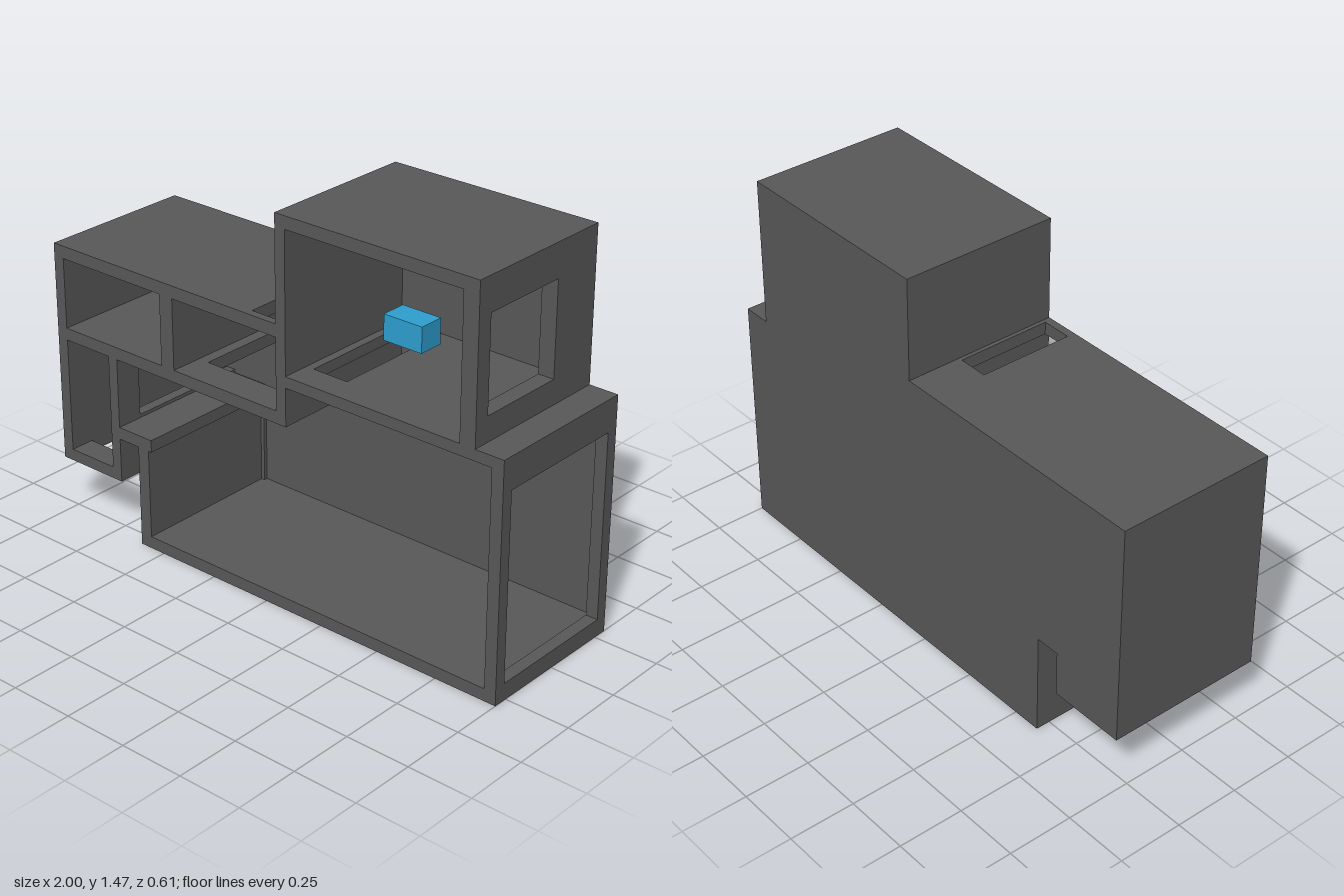
import * as THREE from 'three';

const HALF = 0.305; // half depth of the house
const BACK = 0.006; // thin back sheet

const rect = (Type, a0, a1, b0, b1) => {
  const s = new Type();
  s.moveTo(a0, b0).lineTo(a1, b0).lineTo(a1, b1).lineTo(a0, b1).closePath();
  return s;
};
const extrude = (shape, depth) => new THREE.ExtrudeGeometry(shape, { depth, bevelEnabled: false });

export function createModel() {
  const house = new THREE.Group();
  house.name = 'openFrontHouse';
  const darkGrey = new THREE.MeshStandardMaterial({ color: 0x595959 });
  const blue = new THREE.MeshStandardMaterial({ color: 0x2f9fd0 });
  const brown = new THREE.MeshStandardMaterial({ color: 0x906a3c });

  const add = (name, geometry, material = darkGrey) => {
    const mesh = new THREE.Mesh(geometry, material);
    mesh.name = name;
    house.add(mesh);
    return mesh;
  };

  // Horizontal slab; the optional hole is [x0, x1, z0, z1]
  const slab = (name, x0, x1, y0, y1, hole) => {
    const s = rect(THREE.Shape, x0, x1, -HALF, HALF - BACK);
    if (hole) s.holes.push(rect(THREE.Path, hole[0], hole[1], -hole[3], -hole[2]));
    add(name, extrude(s, y1 - y0).rotateX(-Math.PI / 2).translate(0, y0, 0));
  };

  // Upright wall across the depth; the optional opening is [z0, z1, y0, y1]
  const wall = (name, x0, x1, y0, y1, hole) => {
    const s = rect(THREE.Shape, -HALF, HALF - BACK, y0, y1);
    if (hole) s.holes.push(rect(THREE.Path, -hole[1], -hole[0], hole[2], hole[3]));
    add(name, extrude(s, x1 - x0).rotateY(Math.PI / 2).translate(x0, 0, 0));
  };

  const block = (name, x0, x1, y0, y1, z0, z1, material) =>
    add(name, new THREE.BoxGeometry(x1 - x0, y1 - y0, z1 - z0), material)
      .position.set((x0 + x1) / 2, (y0 + y1) / 2, (z0 + z1) / 2);

  // Floors and roofs
  slab('groundFloor', -0.61, 1, 0, 0.047);
  slab('entryFloor', -1, -0.703, 0.223, 0.268, [-0.955, -0.745, -0.255, 0.21]);
  slab('nookFloor', -0.703, -0.545, 0.395, 0.442);
  slab('middleFloor', -1, 0.055, 0.71, 0.757, [-0.376, 0.05, -0.26, 0.18]);
  slab('hallRoof', 0.055, 1, 0.855, 0.897, [0.13, 0.275, -0.2, 0.2]);
  slab('lowRoof', -1, 0.055, 1.027, 1.075, [-0.075, 0.04, -0.093, 0.275]);
  slab('towerRoof', 0.055, 0.887, 1.42, 1.467);

  // Walls
  wall('outerWall', -1, -0.955, 0.268, 0.71);
  wall('upperOuterWall', -1, -0.955, 0.757, 1.027);
  // The passage beside the entry runs up to the ceiling and back to the back wall
  wall('entryWall', -0.745, -0.703, 0.268, 0.455);
  block('entryPost', -0.745, -0.703, 0.455, 0.71, 0.2, HALF);
  wall('hallWall', -0.61, -0.56, 0.047, 0.395);
  block('hallCornerPost', -0.56, -0.545, 0.047, 0.395, -HALF + BACK, -0.285);
  wall('roomDivider', -0.48, -0.42, 0.757, 1.027);
  wall('stepWall', 0.055, 0.098, 0.71, 0.855);
  wall('towerWall', 0.055, 0.098, 0.897, 1.42);
  wall('hallWindowWall', 0.953, 1, 0.047, 0.855, [-0.26, 0.26, 0.065, 0.775]);
  wall('towerWindowWall', 0.825, 0.887, 0.897, 1.42, [-0.1, 0.245, 0.99, 1.34]);

  // Back sheet follows the stepped outline
  const outline = [
    [-1, 0.223], [-0.703, 0.223], [-0.703, 0.395], [-0.61, 0.395], [-0.61, 0], [1, 0],
    [1, 0.897], [0.887, 0.897], [0.887, 1.467], [0.055, 1.467], [0.055, 1.075], [-1, 1.075],
  ].map(([x, y]) => new THREE.Vector2(x, y));
  add('backWall', extrude(new THREE.Shape(outline), BACK).translate(0, 0, -HALF));

  // Fittings
  block('blueBox', 0.465, 0.62, 1.12, 1.212, 0.15, 0.245, blue);
  block('brownShelf', 0.385, 0.84, 0.775, 0.855, -HALF + BACK, -0.2, brown);
  block('smallBrownBox', 0.7, 0.775, 1.307, 1.375, -HALF + BACK, -0.22, brown);

  return house;
}
